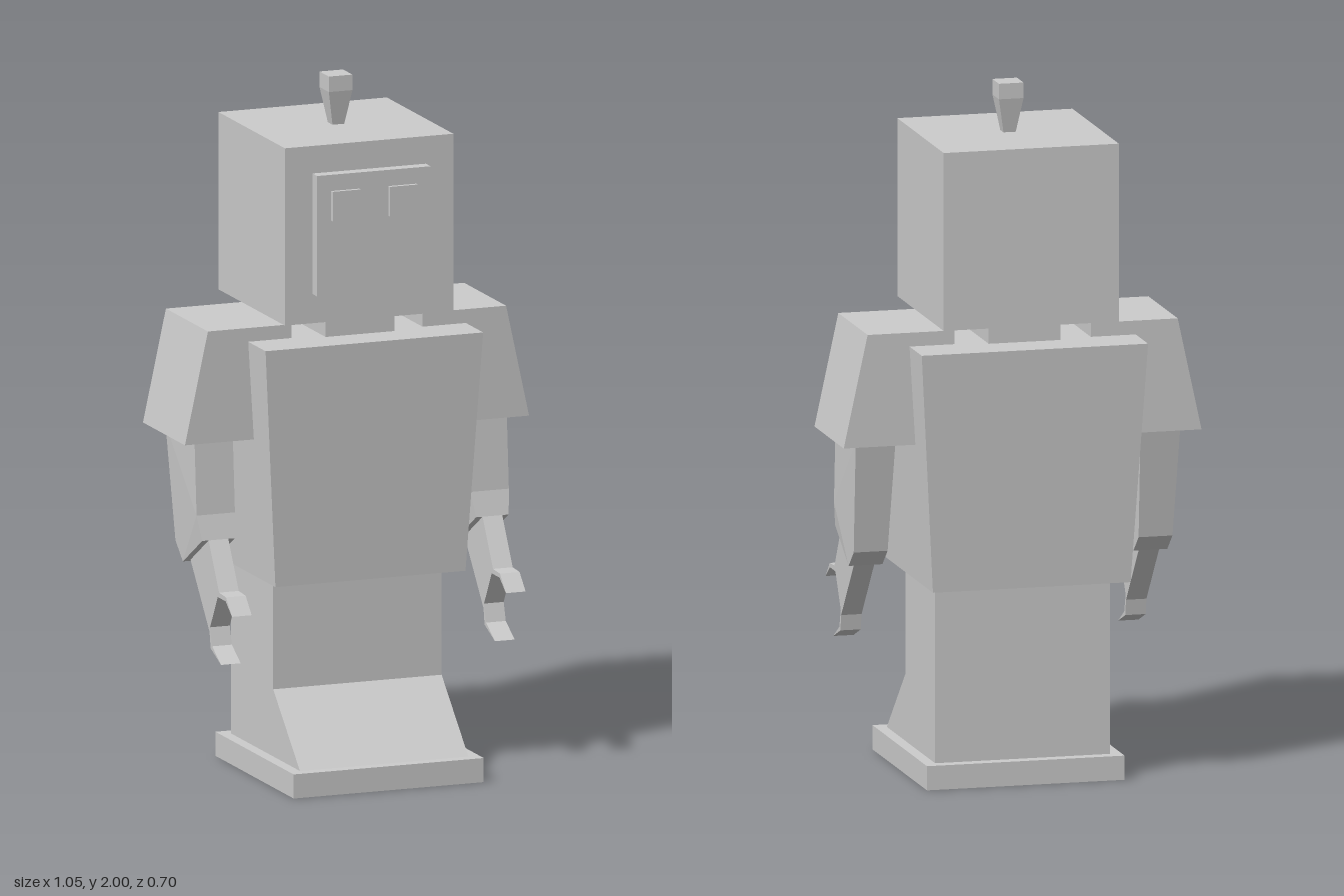
import * as THREE from 'three';

const material = new THREE.MeshStandardMaterial({ color: 0xcccccc, flatShading: true });

export function createModel() {
  const model = new THREE.Group();

  const add = (name, geometry) => {
    const mesh = new THREE.Mesh(geometry, material);
    mesh.name = name;
    model.add(mesh);
    return mesh;
  };

  // Box between two corners
  const box = (name, [x0, y0, z0], [x1, y1, z1]) => {
    const g = new THREE.BoxGeometry(x1 - x0, y1 - y0, z1 - z0);
    g.translate((x0 + x1) / 2, (y0 + y1) / 2, (z0 + z1) / 2);
    return add(name, g);
  };

  // Four-sided block tapering between bottom and top: [y, half width, back z, front z]
  const taperedBlock = (name, bottom, top) => {
    const g = new THREE.BoxGeometry(1, 1, 1);
    const p = g.attributes.position;
    for (let i = 0; i < p.count; i++) {
      const [y, halfWidth, back, front] = p.getY(i) > 0 ? top : bottom;
      p.setXYZ(i, Math.sign(p.getX(i)) * halfWidth, y, p.getZ(i) > 0 ? front : back);
    }
    g.computeVertexNormals();
    return add(name, g);
  };

  // Side profile of [z, y] points, extruded across x and centred on x = 0
  const sideProfile = (points, width) => {
    const shape = new THREE.Shape(points.map(([z, y]) => new THREE.Vector2(z, y)));
    const g = new THREE.ExtrudeGeometry(shape, { depth: width, bevelEnabled: false });
    return g.translate(0, 0, -width / 2).rotateY(-Math.PI / 2);
  };

  // Base and legs with sloping foot
  box('base', [-0.29, 0, -0.25], [0.29, 0.07, 0.35]);
  add('legs', sideProfile([
    [-0.215, 0.07], [0.315, 0.07], [0.11, 0.265], [0.11, 0.59], [-0.215, 0.59],
  ], 0.514));

  // Torso and neck
  taperedBlock('torso', [0.585, 0.29, -0.315, 0.21], [1.28, 0.332, -0.35, 0.24]);
  box('neck', [-0.105, 1.27, -0.235], [0.105, 1.345, 0.13]);

  // Head, face plate and eyes
  box('head', [-0.257, 1.34, -0.31], [0.257, 1.855, 0.2]);
  box('facePlate', [-0.173, 1.425, 0.19], [0.173, 1.775, 0.236]);
  for (const side of [-1, 1]) {
    const x = side * 0.087;
    box('eye', [x - 0.043, 1.642, 0.23], [x + 0.043, 1.728, 0.248]);
  }

  // Antenna: narrow stem widening to a square cap
  taperedBlock('antennaStem', [1.85, 0.017, -0.071, -0.037], [1.955, 0.036, -0.09, -0.018]);
  taperedBlock('antennaCap', [1.955, 0.036, -0.09, -0.018], [2, 0.036, -0.09, -0.018]);

  for (const side of [1, -1]) {
    const label = side > 0 ? 'left' : 'right';

    // Flared shoulder
    const outline = [[0.2, 0.995], [0.525, 0.995], [0.455, 1.32], [0.2, 1.32]];
    const shape = new THREE.Shape(outline.map(([x, y]) => new THREE.Vector2(side * x, y)));
    const shoulder = new THREE.ExtrudeGeometry(shape, { depth: 0.322, bevelEnabled: false });
    add(label + 'Shoulder', shoulder.translate(0, 0, -0.215));

    // Upper arm, slightly narrower at the elbow
    const arm = sideProfile([
      [0.058, 1], [-0.165, 1], [-0.11, 0.67], [-0.053, 0.62], [0.095, 0.71], [0.074, 0.78],
    ], 0.117);
    const p = arm.attributes.position;
    for (let i = 0; i < p.count; i++) {
      if (p.getY(i) < 0.75) p.setX(i, p.getX(i) * 0.85);
    }
    arm.computeVertexNormals();
    add(label + 'UpperArm', arm).position.x = side * 0.418;

    // Forearm ending in a two-fingered claw
    const claw = sideProfile([
      [0.06, 0.74], [0.095, 0.71], [0.175, 0.575], [0.228, 0.572], [0.274, 0.525],
      [0.225, 0.56], [0.165, 0.56], [0.106, 0.46], [0.122, 0.408], [0.19, 0.368],
      [0.11, 0.4], [0.102, 0.446], [-0.045, 0.627],
    ], 0.06);
    add(label + 'ForearmAndClaw', claw).position.x = side * 0.418;
  }

  return model;
}
